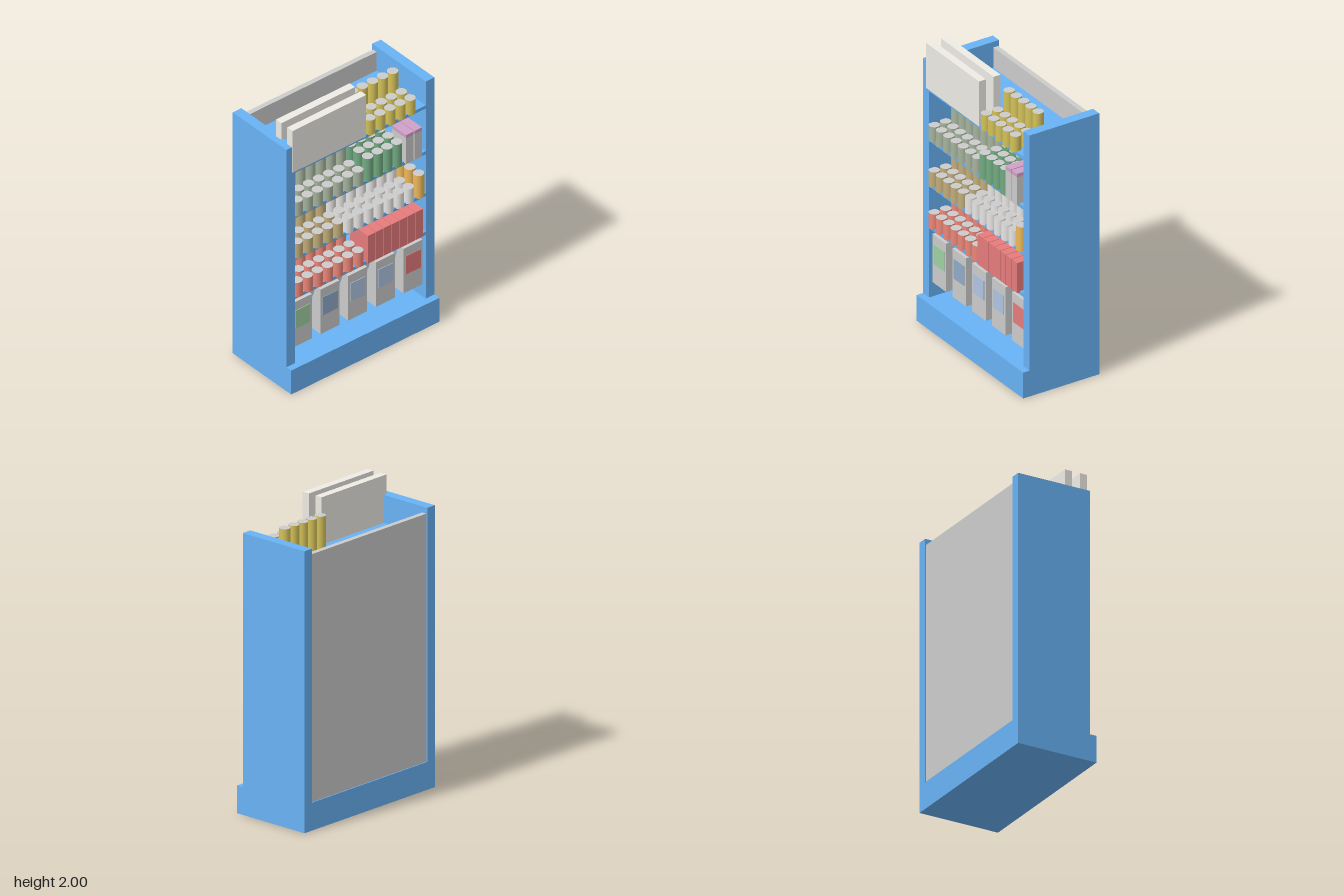
import * as THREE from 'three';

const mat = (color) => new THREE.MeshStandardMaterial({ color });
const grey = mat(0xcccccc);
const blue = mat(0x68b2f5);
const card = mat(0xeeebe4);

function add(parent, name, geometry, material, x = 0, y = 0, z = 0) {
  const mesh = new THREE.Mesh(geometry, material);
  mesh.name = name;
  mesh.position.set(x, y, z);
  parent.add(mesh);
  return mesh;
}

// Box given by its limits on each axis
function box(parent, name, material, [x0, x1], [y0, y1], [z0, z1]) {
  return add(parent, name, new THREE.BoxGeometry(x1 - x0, y1 - y0, z1 - z0), material,
    (x0 + x1) / 2, (y0 + y1) / 2, (z0 + z1) / 2);
}

// Block of cans: three rows deep, the back row stacked "backStack" high
function cans(parent, name, color, x0, columns, y, height, backStack, pitch = 0.0825) {
  const group = new THREE.Group();
  group.name = name;
  const geometry = new THREE.CylinderGeometry(0.036, 0.036, height, 24);
  const materials = [mat(color), grey, grey];
  [0.05, 0.135, 0.22].forEach((z, row) => {
    const levels = row === 0 ? backStack : 1;
    for (let c = 0; c < columns; c++) {
      for (let l = 0; l < levels; l++) {
        add(group, 'can', geometry, materials, x0 + c * pitch, y + height * (l + 0.5), z);
      }
    }
  });
  parent.add(group);
}

// Hanging bag: thin at the top, deep at the bottom, with a front label
function bag(parent, x, color) {
  const group = new THREE.Group();
  group.name = 'hangingBag';
  const side = new THREE.Shape([
    new THREE.Vector2(0, 0), new THREE.Vector2(0, 0.345),
    new THREE.Vector2(0.05, 0.345), new THREE.Vector2(0.145, 0),
  ]);
  const geometry = new THREE.ExtrudeGeometry(side, { depth: 0.155, bevelEnabled: false });
  geometry.rotateY(Math.PI / 2);
  add(group, 'bagBody', geometry, grey, x - 0.0775, 0.29, 0.215);
  box(group, 'bagLabel', mat(color), [x - 0.06, x + 0.06], [0.43, 0.57], [0.21, 0.219]);
  parent.add(group);
}

export function createModel() {
  const model = new THREE.Group();
  model.name = 'shopShelf';
  const unit = new THREE.Group();
  unit.name = 'displayUnit';
  unit.rotation.y = -0.021;
  model.add(unit);

  // Cabinet
  box(unit, 'base', blue, [-0.605, 0.605], [0, 0.185], [-0.2875, 0.285]);
  for (const s of [-1, 1]) {
    const inner = s * 0.535, outer = s * 0.605;
    box(unit, s > 0 ? 'leftPanel' : 'rightPanel', blue,
      [Math.min(inner, outer), Math.max(inner, outer)], [0.185, 1.87], [-0.2875, 0.2375]);
  }
  box(unit, 'backPanel', grey, [-0.535, 0.535], [0.185, 1.83], [-0.28, -0.245]);

  // Shelves
  const shelfTops = [0.705, 1.005, 1.33, 1.685];
  for (const y of shelfTops) {
    box(unit, 'shelf', blue, [-0.535, 0.535], [y - 0.024, y], [-0.245, 0.2375]);
  }
  box(unit, 'hangingRail', blue, [-0.51, 0.51], [0.648, 0.672], [0.17, 0.2]);

  // Goods sink slightly into the shelf and overhang its front edge
  const [s1, s2, s3, s4] = shelfTops.map((y) => y - 0.008);

  // Top shelf: cans and two stacks of flat cartons
  cans(unit, 'yellowCans', 0xd4c25a, 0.09, 5, s4, 0.113, 2);
  for (const z of [0.082, 0.192]) {
    for (let i = 0; i < 2; i++) {
      box(unit, 'flatCarton', card, [-0.56, 0.042], [s4 + i * 0.1615, s4 + (i + 1) * 0.1615], [z, z + 0.052]);
    }
  }

  // Third shelf: cans and two lidded packets
  cans(unit, 'sageCans', 0xa6b49e, -0.503, 7, s3, 0.111, 2);
  cans(unit, 'greenCans', 0x72ab82, 0.073, 4, s3, 0.178, 1, 0.079);
  for (const x of [0.358, 0.427]) {
    box(unit, 'packet', grey, [x, x + 0.062], [s3, 1.522], [0.12, 0.256]);
    box(unit, 'packetTop', mat(0xd0a0c8), [x, x + 0.062], [1.522, 1.547], [0.12, 0.256]);
  }

  // Second shelf: tan, white and amber cans
  cans(unit, 'tanCans', 0xc2ae7c, -0.503, 5, s2, 0.112, 2);
  cans(unit, 'whiteCans', 0xe8e6e4, -0.09, 7, s2, 0.112, 2);
  cans(unit, 'amberCans', 0xeeb85a, 0.49, 1, s2, 0.176, 1);

  // First shelf: red cans and a row of red boxes
  cans(unit, 'redCans', 0xec877a, -0.503, 7, s1, 0.111, 2);
  const red = mat(0xe67b7b);
  for (let i = 0; i < 7; i++) {
    const x = 0.045 + i * 0.065;
    box(unit, 'redBox', red, [x, x + 0.061], [s1, 0.912], [0.08, 0.258]);
  }

  // Bags hanging below the first shelf
  [0x9fd0a0, 0x90aac8, 0xb0c5e0, 0xb0c5e0, 0xe67b7b].forEach((color, i) => {
    bag(unit, -0.455 + i * 0.226, color);
  });

  return model;
}
